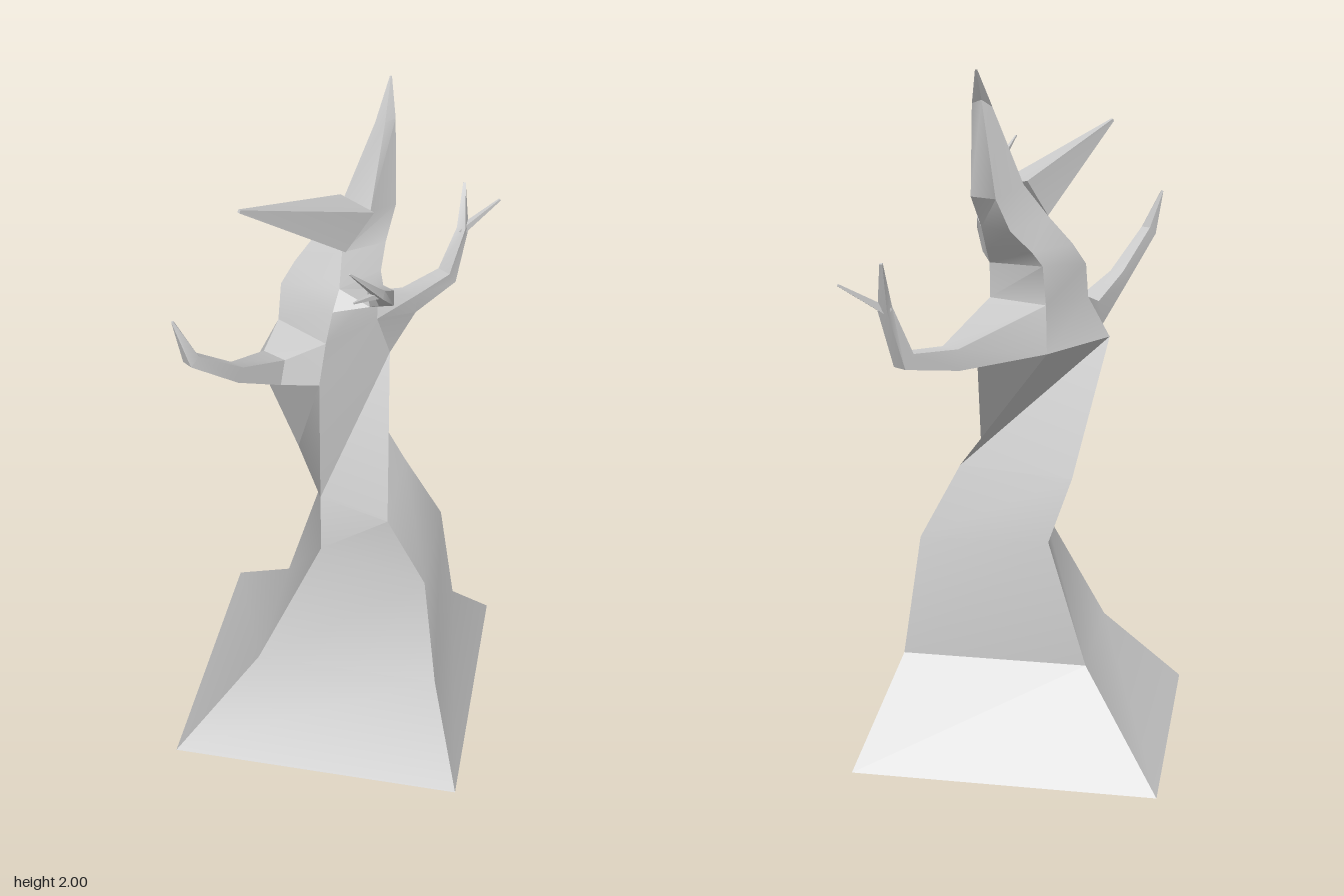
import * as THREE from 'three';
import { toCreasedNormals } from 'three/addons/utils/BufferGeometryUtils.js';

const material = new THREE.MeshStandardMaterial({ color: 0xcccccc });

// Skin a list of four-cornered rings (counter-clockwise about the growth direction), capped at both ends
function loft(name, rings) {
  const index = [];
  for (let i = 0; i < rings.length - 1; i++) {
    for (let j = 0; j < 4; j++) {
      const a = i * 4 + j, b = i * 4 + (j + 1) % 4;
      index.push(a, b, b + 4, a, b + 4, a + 4);
    }
  }
  const n = (rings.length - 1) * 4;
  index.push(0, 2, 1, 0, 3, 2, n, n + 1, n + 2, n, n + 2, n + 3);
  const geometry = new THREE.BufferGeometry();
  geometry.setAttribute('position', new THREE.Float32BufferAttribute(rings.flat(2), 3));
  geometry.setIndex(index);
  const mesh = new THREE.Mesh(toCreasedNormals(geometry, 0.5), material);
  mesh.name = name;
  return mesh;
}

// Square rings along a path of [x, y, z, halfWidth]; the first point may be left out of the result
function pathRings(path, skipFirst = false) {
  const points = path.map(p => new THREE.Vector3(p[0], p[1], p[2]));
  const up = new THREE.Vector3(0, 1, 0);
  const rings = path.map((p, i) => {
    const dir = points[Math.min(i + 1, points.length - 1)].clone()
      .sub(points[Math.max(i - 1, 0)]).normalize();
    const s = dir.clone().cross(up).normalize();
    const t = s.clone().cross(dir);
    return [[1, -1], [-1, -1], [-1, 1], [1, 1]].map(([a, b]) =>
      points[i].clone().addScaledVector(s, a * p[3]).addScaledVector(t, b * p[3]).toArray());
  });
  return skipFirst ? rings.slice(1) : rings;
}

// Branch growing out of four trunk corners
function branch(name, base, path) {
  const centre = [0, 1, 2].map(k => base.reduce((sum, c) => sum + c[k] / 4, 0));
  return loft(name, [base, ...pathRings([[...centre, 0], ...path], true)]);
}

export function createModel() {
  const tree = new THREE.Group();
  tree.name = 'bareTree';

  // Twisting trunk; corners run back left, front left, front right, back right
  const trunk = [
    [[-0.335, 0, -0.49], [-0.53, 0, 0.325], [0.335, 0, 0.53], [0.53, 0, -0.285]],
    [[-0.16, 0.28, -0.2], [-0.26, 0.28, 0.2], [0.28, 0.28, 0.33], [0.375, 0.28, -0.07]],
    [[-0.05, 0.66, -0.18], [-0.06, 0.66, 0.125], [0.24, 0.65, 0.28], [0.32, 0.64, -0.05]],
    [[-0.12, 0.84, -0.15], [-0.06, 0.84, 0.1], [0.13, 0.85, 0.23], [0.2, 0.86, -0.05]],
    [[-0.235, 1.24, -0.055], [-0.06, 1.24, 0.09], [0.15, 1.23, -0.08], [-0.04, 1.23, -0.235]],
    [[-0.17, 1.36, -0.07], [-0.04, 1.36, 0.06], [0.11, 1.36, -0.06], [-0.04, 1.36, -0.195]],
    [[-0.16, 1.46, -0.1], [-0.02, 1.45, 0.04], [0.11, 1.46, -0.06], [-0.03, 1.47, -0.205]],
    [[-0.12, 1.52, -0.12], [0, 1.5, 0], [0.12, 1.5, -0.09], [0, 1.51, -0.215]],
    [[-0.05, 1.6, -0.15], [0.01, 1.58, -0.06], [0.135, 1.57, -0.13], [0.06, 1.57, -0.23]],
    [[0.02, 1.69, -0.17], [0.09, 1.68, -0.11], [0.165, 1.66, -0.18], [0.1, 1.66, -0.25]],
    [[0.105, 1.9, -0.2], [0.13, 1.91, -0.175], [0.16, 1.91, -0.2], [0.135, 1.92, -0.22]],
    [[0.147, 2, -0.27], [0.15, 2, -0.267], [0.153, 2, -0.27], [0.15, 2, -0.273]],
  ];
  tree.add(loft('trunk', trunk));

  // Long straight spike forked off the crown
  tree.add(branch('crownSpike',
    [[-0.05, 1.6, -0.13], [0.02, 1.58, -0.06], [0.1, 1.68, -0.1], [0.01, 1.7, -0.17]],
    [[-0.26, 1.84, 0.165, 0.004]]));

  // Three side branches, each rooted on one face of the trunk
  const face = (j, low) => {
    const k = (j + 1) % 4;
    return [trunk[low][j], trunk[low][k], trunk[low + 1][k], trunk[low + 1][j]];
  };
  tree.add(branch('rightBranch', face(0, 4), [
    [-0.19, 1.29, 0.07, 0.038], [-0.29, 1.37, 0.2, 0.022],
    [-0.395, 1.495, 0.315, 0.017], [-0.435, 1.615, 0.32, 0.003]]));
  tree.add(branch('leftBranch', face(2, 4), [
    [0.225, 1.245, -0.335, 0.03], [0.35, 1.265, -0.44, 0.024],
    [0.395, 1.41, -0.475, 0.014], [0.4, 1.535, -0.53, 0.004]]));
  tree.add(branch('frontBranch', face(1, 6), [
    [0.1, 1.5, 0.04, 0.025], [0.12, 1.55, 0.13, 0.02],
    [0.09, 1.67, 0.3, 0.011], [0.01, 1.78, 0.38, 0.002]]));

  // Small twigs near the branch ends
  tree.add(loft('leftTwig', pathRings([[0.385, 1.4, -0.47, 0.011], [0.51, 1.48, -0.52, 0.003]])));
  tree.add(loft('frontTwig', pathRings([[0.09, 1.665, 0.29, 0.009], [0.02, 1.69, 0.37, 0.002]])));

  return tree;
}
